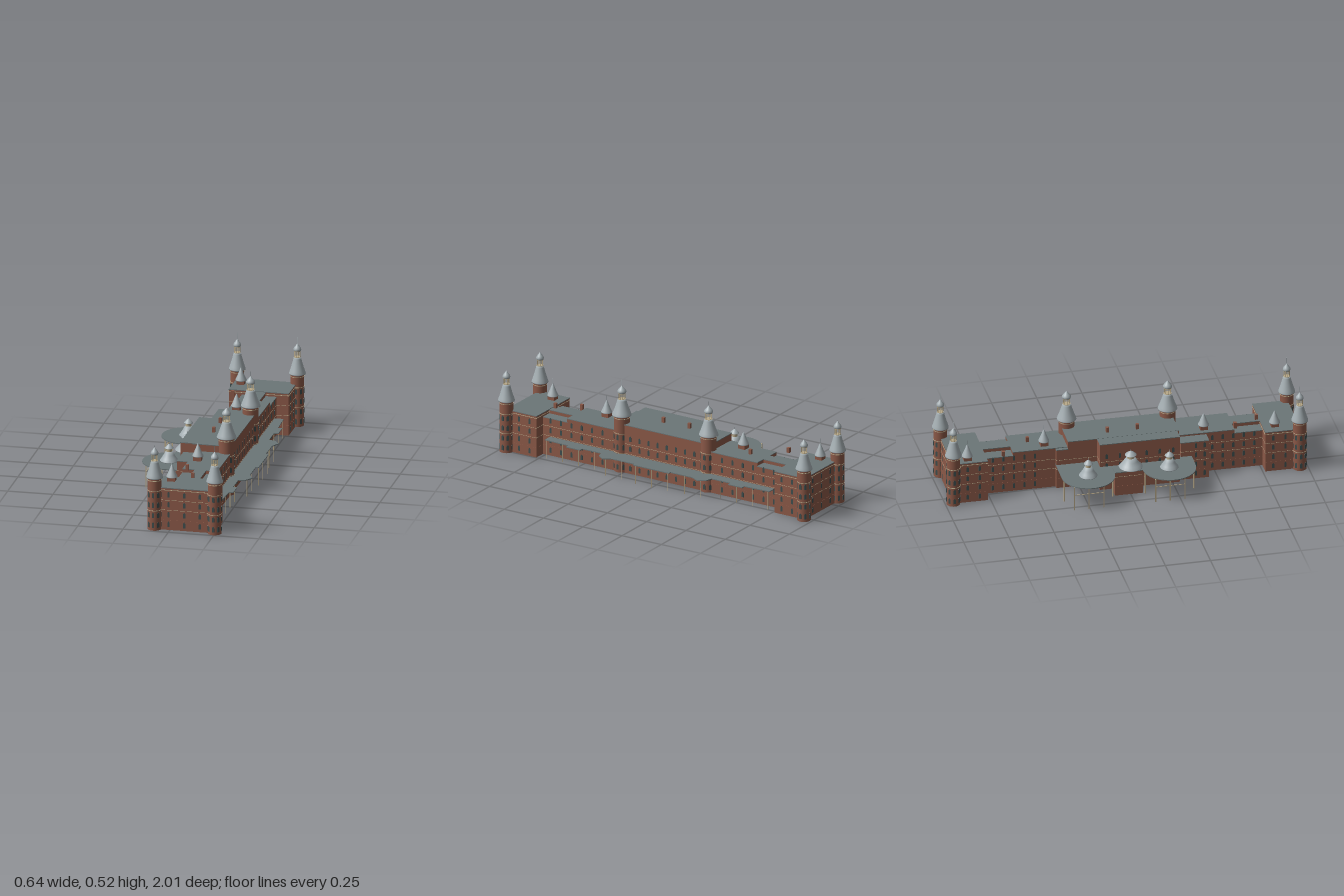
import * as THREE from 'three';
import { mergeGeometries } from 'three/addons/utils/BufferGeometryUtils.js';

const mat = (color, side = THREE.FrontSide) => new THREE.MeshStandardMaterial({ color, side });
const BRICK = mat(0x8a5847), ROOF = mat(0x6b7677), METAL = mat(0xa3adb1, THREE.DoubleSide);
const CREAM = mat(0xb9aa8a), GLASS = mat(0x3d4d4d);
const ROWS = [0.016, 0.072, 0.129, 0.185];

export function createModel() {
  const model = new THREE.Group();
  const hotel = new THREE.Group();
  hotel.name = 'building';
  hotel.rotation.y = -0.0136;
  model.add(hotel);

  const add = (name, geo, material, x = 0, y = 0, z = 0, parent = hotel) => {
    const m = new THREE.Mesh(geo, material);
    m.name = name;
    m.position.set(x, y, z);
    parent.add(m);
    return m;
  };
  // Box given by its corners
  const box = (name, material, x0, x1, y0, y1, z0, z1, parent) =>
    add(name, new THREE.BoxGeometry(x1 - x0, y1 - y0, z1 - z0), material,
      (x0 + x1) / 2, (y0 + y1) / 2, (z0 + z1) / 2, parent);
  const lathe = (pts, seg = 24) => new THREE.LatheGeometry(pts.map(p => new THREE.Vector2(...p)), seg);

  // Pointed windows are collected and merged at the end
  const ws = new THREE.Shape([[-0.0065, 0], [0.0065, 0], [0.0065, 0.024], [0, 0.032], [-0.0065, 0.024]]
    .map(p => new THREE.Vector2(...p)));
  const pane = new THREE.ExtrudeGeometry(ws, { depth: 0.002, bevelEnabled: false });
  pane.translate(0, 0, -0.001);
  const panes = [];
  const window_ = (x, y, z, ry) => panes.push(pane.clone().rotateY(ry).translate(x, y, z));
  // A row of windows along z on a wall facing +x (dir 1) or -x (dir -1)
  const sideWindows = (x, z0, z1, n, dir, rows = ROWS) => {
    for (let i = 0; i < n; i++)
      for (const y of rows) window_(x, y, z0 + (z1 - z0) * (i + 0.5) / n, dir * Math.PI / 2);
  };

  // Brick wing with string courses and a flat roof
  const block = (name, x0, x1, z0, z1, h) => {
    const g = new THREE.Group();
    g.name = name;
    hotel.add(g);
    box('walls', BRICK, x0, x1, 0, h - 0.004, z0, z1, g);
    box('roof', ROOF, x0 - 0.001, x1 + 0.001, h - 0.004, h, z0 - 0.001, z1 + 0.001, g);
    for (const y of [0.055, 0.112, 0.168])
      if (y < h) box('stringCourse', y === 0.055 ? BRICK : CREAM, x0 - 0.001, x1 + 0.001, y - 0.0008, y + 0.0008, z0 - 0.001, z1 + 0.001, g);
  };

  // Central block
  block('centralBlock', -0.02, 0.19, -0.31, 0.3, 0.277);
  block('centralWestBay', -0.09, -0.02, -0.15, 0.29, 0.276);
  sideWindows(0.19, -0.235, 0.235, 8, 1);
  sideWindows(-0.09, -0.15, 0.29, 6, -1, ROWS.slice(2));
  block('westAnnex', -0.07, 0.03, 0.3, 0.455, 0.225);
  sideWindows(-0.07, 0.36, 0.455, 2, -1);
  block('rearAnnex', -0.02, 0.05, -0.375, -0.31, 0.232);

  for (const s of [1, -1]) {
    const end = s > 0 ? 'front' : 'rear';
    const span = (a, b) => s > 0 ? [a, b] : [-b, -a];
    // Long wings, with a lower link next to each end pavilion
    block(end + 'Wing', 0, 0.19, ...span(0.3, 0.61), 0.236);
    block(end + 'Link', 0.068, 0.13, ...span(0.61, 0.77), 0.236);
    block(end + 'LinkSides', 0, 0.19, ...span(0.61, 0.77), 0.215);
    sideWindows(0.19, ...span(0.35, 0.75), 6, 1);
    sideWindows(0, ...span(0.46, 0.75), 5, -1);
    // End pavilion
    block(end + 'Pavilion', -0.074, 0.257, ...span(0.765, 0.958), 0.239);
    for (const x of [0.005, 0.092, 0.179])
      for (const y of ROWS) window_(x, y, s * 0.958, s > 0 ? 0 : Math.PI);
    sideWindows(0.257, ...span(0.775, 0.91), 2, 1);
    sideWindows(-0.074, ...span(0.775, 0.91), 2, -1);
    box('parapetBand', CREAM, -0.076, 0.259, 0.224, 0.2265, ...span(0.763, 0.96));
  }

  // Round tower with flared dome, open lantern and onion cap
  const tower = (name, x, z, r, h, rise) => {
    const g = new THREE.Group();
    g.name = name;
    g.position.set(x, 0, z);
    hotel.add(g);
    const k = r / 0.037, d = h + rise;
    add('shaft', new THREE.CylinderGeometry(r, r, h, 24), BRICK, 0, h / 2, 0, g);
    for (const y of [0.112, 0.222, h - 0.012])
      add('band', new THREE.CylinderGeometry(r + 0.0015, r + 0.0015, 0.003, 24), CREAM, 0, y, 0, g);
    add('dome', lathe([[r, h - 0.004], [0.0455 * k, h], [0.0455 * k, h + 0.004], [0.041 * k, h + 0.018],
      [0.034 * k, h + rise * 0.42], [0.027 * k, h + rise * 0.68], [0.0215 * k, h + rise * 0.9], [0.019 * k, d], [0, d]]), METAL, 0, 0, 0, g);
    const lr = 0.0155 * k;
    for (let i = 0; i < 8; i++) {
      const a = i * Math.PI / 4;
      add('lanternColumn', new THREE.CylinderGeometry(0.0017, 0.0017, 0.038, 6), CREAM,
        lr * Math.cos(a), d + 0.018, lr * Math.sin(a), g);
    }
    for (const y of [d + 0.001, d + 0.035])
      add('lanternRing', new THREE.CylinderGeometry(0.0185 * k, 0.0185 * k, 0.003, 24), CREAM, 0, y, 0, g);
    add('onionCap', lathe([[0, 0.036], [0.019, 0.036], [0.0212, 0.041], [0.0205, 0.048], [0.016, 0.056],
      [0.009, 0.065], [0.003, 0.074], [0, 0.078]].map(([a, b]) => [a * k, d + b])), METAL, 0, 0, 0, g);
    add('spire', new THREE.CylinderGeometry(0.0006, 0.0012, 0.04, 6), METAL, 0, d + 0.092, 0, g);
    for (let i = 0; i < 8; i++)
      for (const y of ROWS) {
        const a = i * Math.PI / 4;
        window_(x + r * Math.sin(a), y, z + r * Math.cos(a), a);
      }
  };
  for (const z of [0.955, -0.955])
    for (const x of [-0.073, 0.26]) tower('cornerTower', x, z, 0.037, 0.292, 0.094);
  for (const z of [0.277, -0.28]) tower('centralTower', 0.163, z, 0.043, 0.318, 0.092);

  // Small rooftop cupolas
  for (const [x, z] of [[-0.032, -0.87], [0.049, -0.43], [0.046, 0.45], [-0.007, 0.83]]) {
    box('cupolaBase', BRICK, x - 0.021, x + 0.021, 0.225, 0.262, z - 0.021, z + 0.021);
    add('cupolaRoof', lathe([[0, 0.259], [0.03, 0.259], [0.03, 0.263], [0.022, 0.28], [0.014, 0.3],
      [0.006, 0.32], [0, 0.332]], 16), METAL, x, 0, z);
    add('cupolaSpire', new THREE.CylinderGeometry(0.0006, 0.001, 0.03, 6), METAL, x, 0.341, z);
  }

  // Chimneys
  for (const [x, z, y] of [[0.044, -0.08, 0.27], [0.046, 0.085, 0.27], [-0.029, -0.67, 0.236],
    [0.103, -0.51, 0.23], [0.028, 0.62, 0.23], [0.09, 0.75, 0.23]])
    box('chimney', BRICK, x - 0.008, x + 0.008, y, y === 0.27 ? 0.306 : 0.264, z - 0.008, z + 0.008);

  // Bell roof with a small capped lantern, used over the porches
  const bellRoof = (name, x, z, y, k) => {
    const g = new THREE.Group();
    g.name = name;
    g.position.set(x, y, z);
    hotel.add(g);
    add('bell', lathe([[0, 0], [0.049, 0], [0.05, 0.004], [0.04, 0.018], [0.029, 0.036], [0.02, 0.054], [0, 0.056]]
      .map(([a, b]) => [a * k, b])), METAL, 0, 0, 0, g);
    add('neck', new THREE.CylinderGeometry(0.016 * k, 0.016 * k, 0.022, 20), CREAM, 0, 0.063, 0, g);
    add('cap', lathe([[0, 0.071], [0.024, 0.071], [0.0245, 0.074], [0.014, 0.086], [0.004, 0.094], [0, 0.096]]
      .map(([a, b]) => [a * k, b])), METAL, 0, 0, 0, g);
    add('finial', new THREE.CylinderGeometry(0.0006, 0.001, 0.014, 6), METAL, 0, 0.1, 0, g);
  };

  // Flat slab from a plan outline in x and -z
  const slab = (name, shape, y, t) => add(name, new THREE.ExtrudeGeometry(shape,
    { depth: t, bevelEnabled: false, curveSegments: 24 }).rotateX(-Math.PI / 2), ROOF, 0, y, 0);

  // Rounded carriage porches on the west side
  for (const z of [-0.232, 0.215]) {
    const s = new THREE.Shape();
    s.moveTo(0, -z - 0.145);
    s.lineTo(0, -z + 0.145);
    s.lineTo(-0.17, -z + 0.145);
    s.absarc(-0.17, -z, 0.145, Math.PI / 2, Math.PI * 1.5, false);
    slab('porchRoof', s, 0.135, 0.005);
    bellRoof('porchDome', -0.17, z, 0.14, 1);
    for (const [dx, dz] of [[-0.113, -0.1], [-0.113, -0.02], [-0.113, 0.062], [-0.007, 0.134], [-0.007, -0.134]])
      box('porchPost', CREAM, -0.173 + dx, -0.167 + dx, 0, 0.136, z + dz - 0.003, z + dz + 0.003);
    box('porchRail', CREAM, -0.2845, -0.2815, 0.088, 0.091, z - 0.1, z + 0.062);
  }
  block('entranceHall', -0.17, -0.09, -0.085, 0.07, 0.14);
  bellRoof('entranceDome', -0.118, 0.013, 0.14, 1.3);

  // East veranda: stepped roof outline, mirrored front to back
  const half = [[0.302, 0.115], [0.287, 0.115], [0.287, 0.255], [0.312, 0.305], [0.285, 0.345], [0.247, 0.355],
    [0.247, 0.475], [0.27, 0.475], [0.27, 0.565], [0.247, 0.565], [0.24, 0.72], [0.185, 0.72]];
  const outline = [...half.map(([x, z]) => [x, -z]).reverse(), ...half];
  slab('verandaRoof', new THREE.Shape(outline.map(([x, z]) => new THREE.Vector2(x, -z))), 0.103, 0.005);
  for (let i = 0; i < 15; i++) {
    const z = -0.71 + i * 1.42 / 14, a = Math.abs(z);
    const x = a < 0.115 ? 0.298 : a < 0.34 ? 0.283 : 0.238;
    box('verandaPost', CREAM, x - 0.0015, x + 0.0015, 0, 0.104, z - 0.0015, z + 0.0015);
  }

  add('windows', mergeGeometries(panes), GLASS);
  return model;
}
